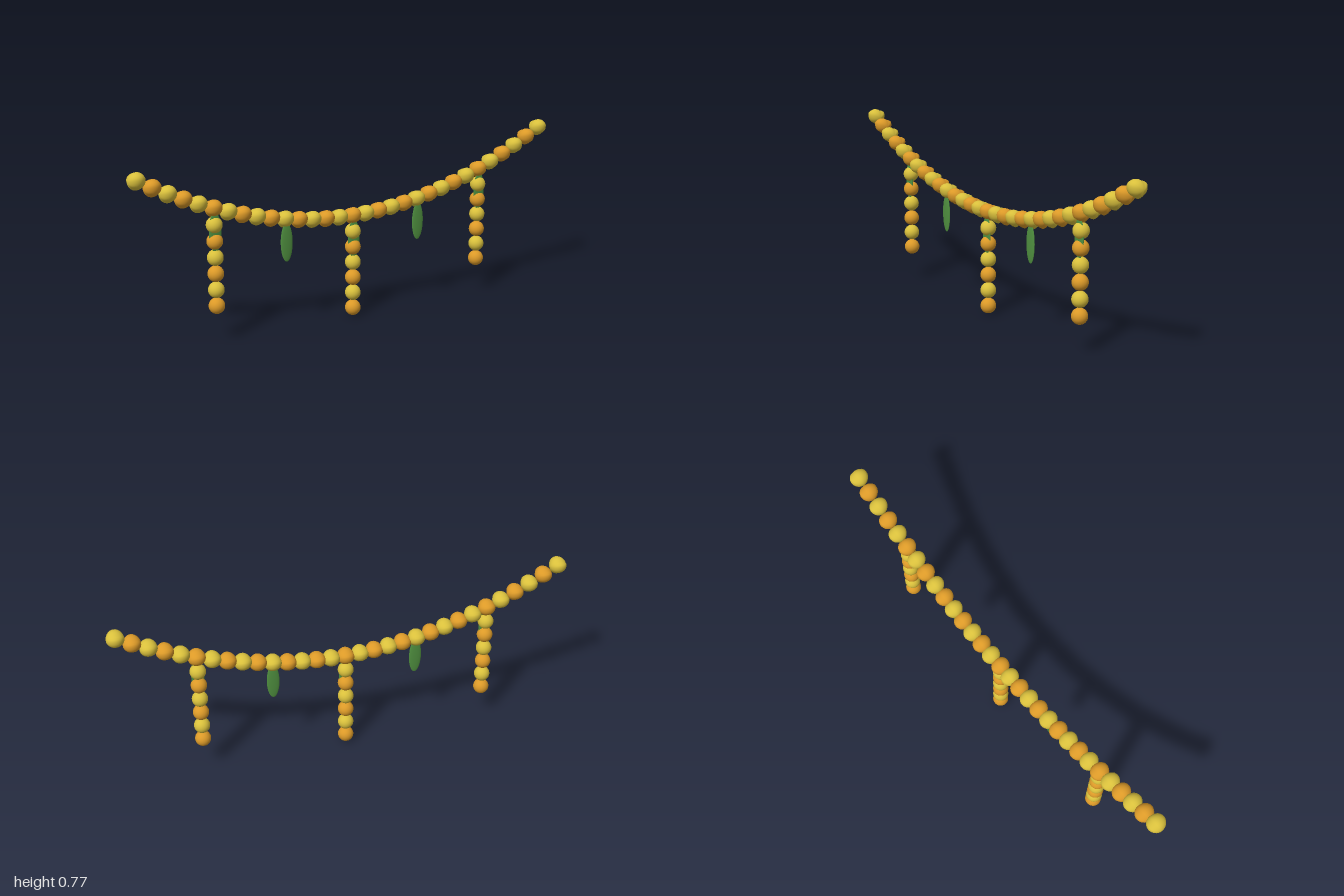
import * as THREE from 'three';
import { mergeVertices } from 'three/addons/utils/BufferGeometryUtils.js';

const material = (name, color) => {
  const m = new THREE.MeshStandardMaterial({ color });
  m.name = name;
  return m;
};

// Lumpy flower head: a sphere whose radius varies around the x axis
function flowerGeometry() {
  const radii = [0.0365, 0.04, 0.0445, 0.039, 0.036, 0.032, 0.038, 0.032, 0.035, 0.039, 0.0425, 0.033];
  let geo = new THREE.SphereGeometry(1, 24, 14).rotateZ(-Math.PI / 2);
  const pos = geo.attributes.position;
  for (let i = 0; i < pos.count; i++) {
    const y = pos.getY(i), z = pos.getZ(i);
    const turn = ((Math.atan2(z, y) / (Math.PI * 2) + 1) % 1) * 12;
    const k = Math.floor(turn);
    const r = THREE.MathUtils.lerp(radii[k % 12], radii[(k + 1) % 12], turn - k);
    pos.setXYZ(i, pos.getX(i) * 0.037, y * r, z * r);
  }
  geo.deleteAttribute('uv');
  geo.deleteAttribute('normal');
  geo = mergeVertices(geo, 1e-5);
  geo.computeVertexNormals();
  return geo;
}

export function createModel() {
  const garland = new THREE.Group();
  garland.name = 'garland';
  const yellow = material('marigold yellow', 0xd9c03c);
  const orange = material('marigold orange', 0xdc9a28);
  const green = material('leaf green', 0x4f8f3f);

  const flower = flowerGeometry();
  const bead = new THREE.SphereGeometry(0.0345, 24, 16);
  const leaf = new THREE.SphereGeometry(1, 20, 16).scale(0.028, 0.085, 0.006);

  const add = (parent, name, geo, mat, x, y, z) => {
    const mesh = new THREE.Mesh(geo, mat);
    mesh.name = name;
    mesh.position.set(x, y, z);
    parent.add(mesh);
  };

  // Sagging strand of alternating flowers
  const sag = (x) => 0.455 + 0.304 * x * x;
  const strand = new THREE.Group();
  strand.name = 'strand';
  garland.add(strand);
  for (let i = 0; i < 31; i++) {
    const x = (i - 15) * 0.064;
    add(strand, 'strandFlower', flower, i % 2 ? orange : yellow, x, sag(x), 0);
  }

  // A leaf hangs below every fifth flower
  for (const x of [-0.64, -0.32, 0, 0.32, 0.64]) {
    add(garland, 'leaf', leaf, green, x, sag(x) - 0.1, 0.011);
  }

  // Three hanging drops of six round beads
  for (const x of [-0.64, 0, 0.64]) {
    const drop = new THREE.Group();
    drop.name = 'hangingDrop';
    garland.add(drop);
    for (let j = 1; j <= 6; j++) {
      add(drop, 'dropBead', bead, j % 2 ? yellow : orange, x, sag(x) - 0.07 * j, 0.0025);
    }
  }
  return garland;
}
